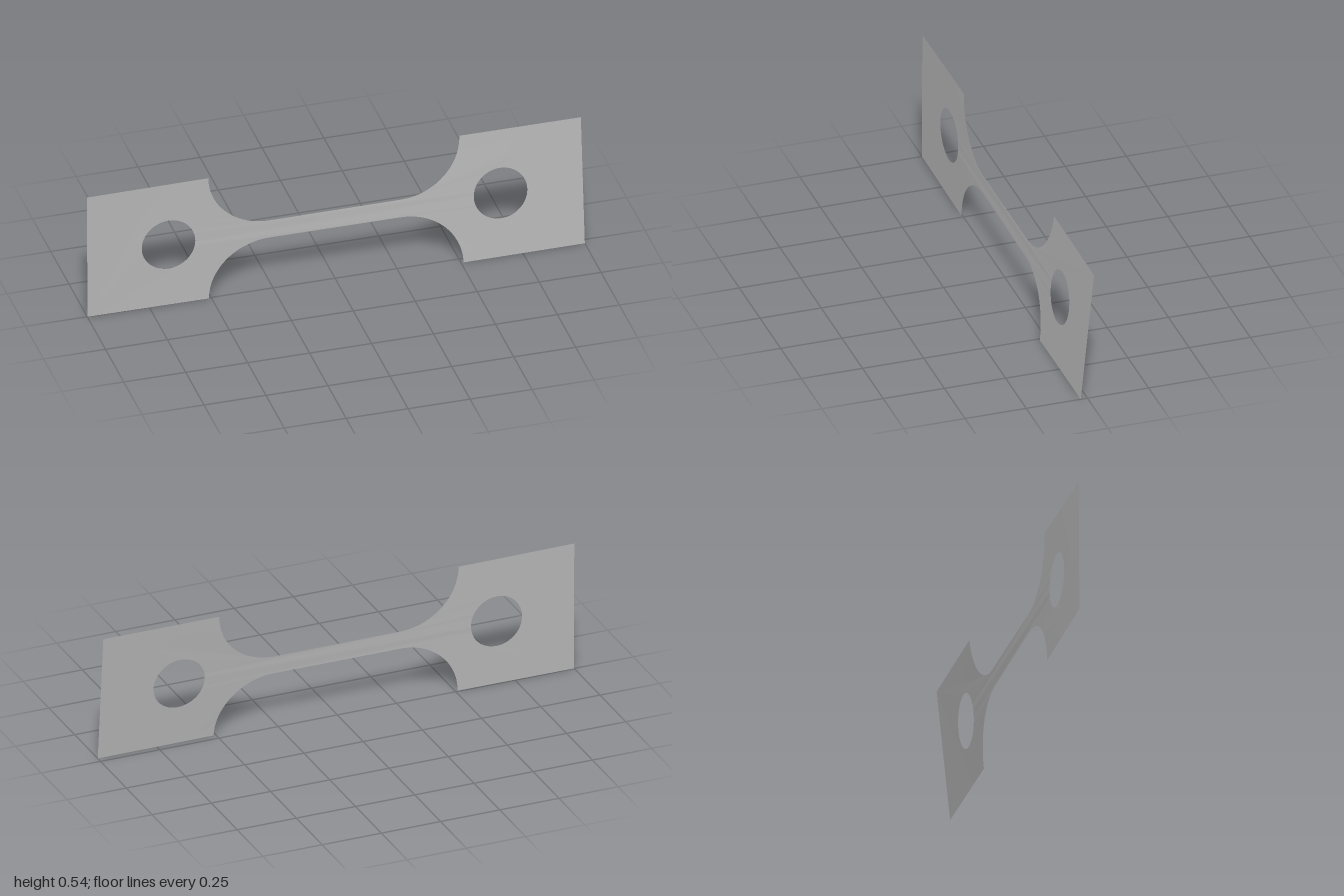
import * as THREE from 'three';

const MID = 0.271;   // height of the long axis
const GRIP = 0.271;  // half height of the grips
const NECK = 0.038;  // half height of the gauge bar

// Slope of the sheet along its length: flat left grip, twisted right grip
const TWIST = [[-1, 0.003], [-0.5, 0.018], [0.5, 0.108], [1, 0.1]];
function twistAt(x) {
  for (let i = 1; i < TWIST.length; i++) {
    const [x0, a] = TWIST[i - 1], [x1, b] = TWIST[i];
    if (x <= x1 || i === TWIST.length - 1) return THREE.MathUtils.lerp(a, b, (x - x0) / (x1 - x0));
  }
}

// Upper edge from the left end to the right end, as offsets from the axis
function upperEdge() {
  const left = [];
  for (let i = 0; i <= 5; i++) left.push([-1 + 0.49 * i / 5, GRIP]);
  // quarter-round fillet from grip to bar
  for (let i = 1; i <= 24; i++) {
    const a = (i / 24) * Math.PI / 2;
    left.push([-0.265 - 0.245 * Math.cos(a), GRIP - (GRIP - NECK) * Math.sin(a)]);
  }
  const bar = [];
  for (let i = 1; i < 12; i++) bar.push([-0.265 + 0.53 * i / 12, NECK]);
  const right = left.map(([x, y]) => [-x, y]).reverse();
  return [...left, ...bar, ...right];
}

export function createModel() {
  const group = new THREE.Group();
  const steel = new THREE.MeshStandardMaterial({ color: 0xb4b4b4, side: THREE.DoubleSide });
  steel.name = 'grey steel';

  // Dog-bone outline with a pin hole in each grip
  const edge = upperEdge();
  const lower = edge.map(([x, y]) => new THREE.Vector2(x, -y));
  const upper = edge.map(([x, y]) => new THREE.Vector2(x, y)).reverse();
  const shape = new THREE.Shape([...lower, ...upper]);
  for (const x of [-0.672, 0.668]) {
    const hole = new THREE.Path();
    hole.absarc(x, 0, 0.108, 0, Math.PI * 2, true);
    shape.holes.push(hole);
  }

  // Twist the sheet about its long axis
  const geometry = new THREE.ShapeGeometry(shape, 24);
  const p = geometry.attributes.position;
  for (let i = 0; i < p.count; i++) {
    const y = p.getY(i);
    p.setXYZ(i, p.getX(i), y + MID, -y * twistAt(p.getX(i)));
  }
  geometry.computeVertexNormals();

  const sheet = new THREE.Mesh(geometry, steel);
  sheet.name = 'twistedTestStrip';
  group.add(sheet);
  return group;
}
